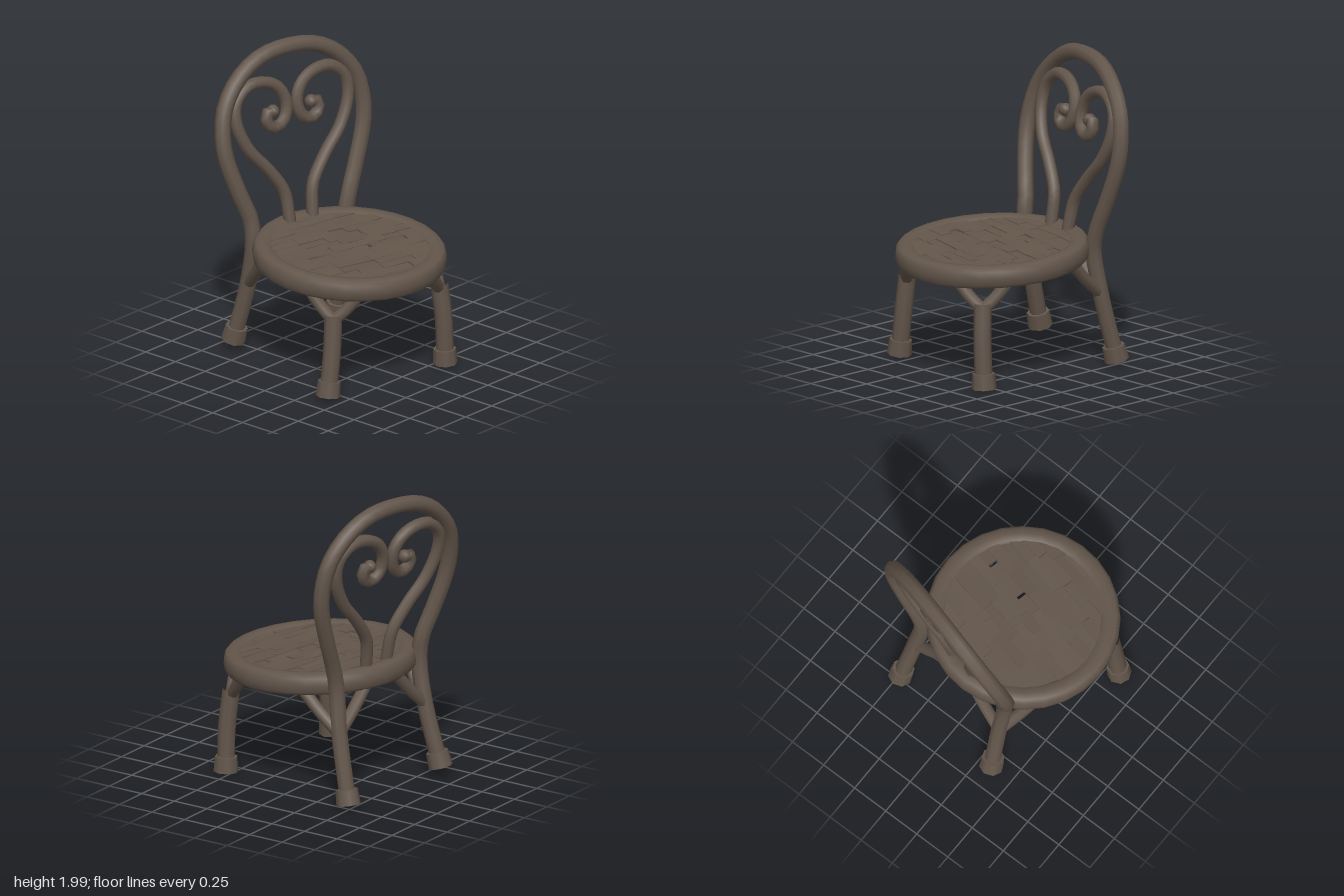
import * as THREE from 'three';

const V = (x, y, z) => new THREE.Vector3(x, y, z);
const wood = new THREE.MeshStandardMaterial({ color: 0x63564b });
wood.name = 'dark wood';

function add(parent, name, geometry) {
  const mesh = new THREE.Mesh(geometry, wood);
  mesh.name = name;
  parent.add(mesh);
  return mesh;
}

// Round rod through a few points
function rod(parent, name, points, radius, segments = 10) {
  const curve = new THREE.CatmullRomCurve3(points, false, 'centripetal');
  return add(parent, name, new THREE.TubeGeometry(curve, segments, radius, 8));
}

// Seat placement: centre, rim radius and slight slope down to the front
const CX = -0.045, CY = 0.755, CZ = 0.095, RIM = 0.55, SLOPE = 0.06;
const rimPoint = (angle, drop) => {
  const x = CX + RIM * Math.cos(angle), z = CZ + RIM * Math.sin(angle);
  return V(x, CY - SLOPE * (z - CZ) - drop, z);
};

// Place a point on the leaning, turned backrest: u = sideways offset from its axis
const backPoint = (u, y) => {
  const h = y - 0.86;
  return V(0.055 + 0.06 * h + u, y, -0.4 - 0.16 * h + (0.16 + 0.1 * h) * u);
};

function buildSeat() {
  const seat = new THREE.Group();
  seat.name = 'seat';
  seat.position.set(CX, CY, CZ);
  seat.rotation.x = SLOPE;

  // Rim with a squarish rounded section
  const soft = (v) => Math.sign(v) * Math.pow(Math.abs(v), 0.7);
  const profile = [];
  for (let i = 0; i <= 12; i++) {
    const t = -Math.PI / 2 + (i / 12) * Math.PI * 2;
    profile.push(new THREE.Vector2(RIM + 0.068 * soft(Math.cos(t)), 0.072 * soft(Math.sin(t))));
  }
  add(seat, 'seatRim', new THREE.LatheGeometry(profile, 28));

  // Woven panel: rows of short, slightly uneven strips
  const weave = new THREE.Group();
  weave.name = 'wovenPanel';
  weave.rotation.y = -0.22;
  seat.add(weave);
  let seed = 7;
  const rand = () => (seed = (seed * 16807) % 2147483647) / 2147483647;
  const rows = 15, radius = 0.53, width = (2 * radius) / rows;
  for (let r = 0; r < rows; r++) {
    const v = -radius + (r + 0.5) * width;
    const half = Math.sqrt(radius * radius - v * v);
    let x = -half;
    while (x < half - 0.02) {
      const length = Math.min(0.12 + 0.16 * rand(), half - x);
      const gap = rand() < 0.1 ? 0.02 : -0.01;
      const strip = add(weave, 'weaveStrip', new THREE.BoxGeometry(length - gap, 0.016, width + 0.008));
      strip.position.set(x + length / 2, 0.045 + 0.01 * rand(), v);
      strip.rotation.set((rand() - 0.5) * 0.14, (rand() - 0.5) * 0.04, (rand() - 0.5) * 0.06);
      x += length;
    }
  }
  return seat;
}

// Foot cap aligned with the lower end of a leg
function foot(parent, bottom, next) {
  const cap = new THREE.Group();
  cap.name = 'footCap';
  const dir = next.clone().sub(bottom).normalize();
  cap.position.copy(bottom);
  cap.quaternion.setFromUnitVectors(V(0, 1, 0), dir);
  add(cap, 'foot', new THREE.CylinderGeometry(0.073, 0.079, 0.1, 8)).position.y = 0.05;
  parent.add(cap);
}

// Pair of braces forking from a leg to the rim
function braces(parent, joint, spread) {
  const angle = Math.atan2(joint.z - CZ, joint.x - CX);
  for (const side of [-1, 1]) {
    const end = rimPoint(angle + side * spread, 0.04);
    const bend = joint.clone().lerp(end, 0.55);
    bend.y -= 0.012;
    rod(parent, 'legBrace', [joint, bend, end], 0.04, 6);
  }
}

export function createModel() {
  const chair = new THREE.Group();
  chair.name = 'bentwoodChair';
  chair.add(buildSeat());

  // Front legs, each forking below the seat
  const frontLegs = [
    [V(-0.588, 0.03, 0.39), V(-0.55, 0.32, 0.39), V(-0.525, 0.56, 0.38)],
    [V(0.355, 0.014, 0.55), V(0.34, 0.32, 0.55), V(0.322, 0.56, 0.53)],
  ];
  for (const points of frontLegs) {
    rod(chair, 'frontLeg', points, 0.057, 8);
    foot(chair, points[0], points[1]);
    const joint = points[2].clone();
    joint.y = 0.52;
    braces(chair, joint, 0.29);
  }

  // Rear legs and back arch bent from one rod
  const rearRight = [V(-0.35, 0.075, -0.615), V(-0.328, 0.48, -0.51), V(-0.335, 0.78, -0.46)];
  const rearLeft = [V(0.487, 0.035, -0.485), V(0.445, 0.48, -0.385), V(0.42, 0.78, -0.345)];
  const arch = [[0.4, 0.93], [0.455, 1.08], [0.53, 1.33], [0.538, 1.48], [0.495, 1.66], [0.37, 1.82], [0.2, 1.92]];
  rod(chair, 'backArchAndRearLegs', [
    ...rearRight,
    ...arch.map(([u, y]) => backPoint(-u, y)),
    backPoint(0, 1.948),
    ...arch.map(([u, y]) => backPoint(u, y)).reverse(),
    ...[...rearLeft].reverse(),
  ], 0.053, 56);
  for (const leg of [rearRight, rearLeft]) {
    foot(chair, leg[0], leg[1]);
    braces(chair, leg[1], 0.38);
  }

  // Mirrored scrolls inside the arch, curling in to a knob
  const scroll = [
    [0.09, 0.78], [0.095, 0.9], [0.115, 1.04], [0.22, 1.2], [0.355, 1.36], [0.425, 1.54], [0.41, 1.67],
    [0.31, 1.755], [0.19, 1.755], [0.09, 1.7], [0.04, 1.6], [0.06, 1.5], [0.12, 1.455],
    [0.18, 1.475], [0.2, 1.53], [0.165, 1.575], [0.145, 1.56],
  ];
  for (const side of [-1, 1]) {
    const points = scroll.map(([u, y]) => backPoint(side * u, y));
    rod(chair, 'backScroll', points, 0.04, 40);
    const knob = add(chair, 'scrollKnob', new THREE.SphereGeometry(0.043, 8, 6));
    knob.position.copy(points[points.length - 1]);
  }
  return chair;
}
